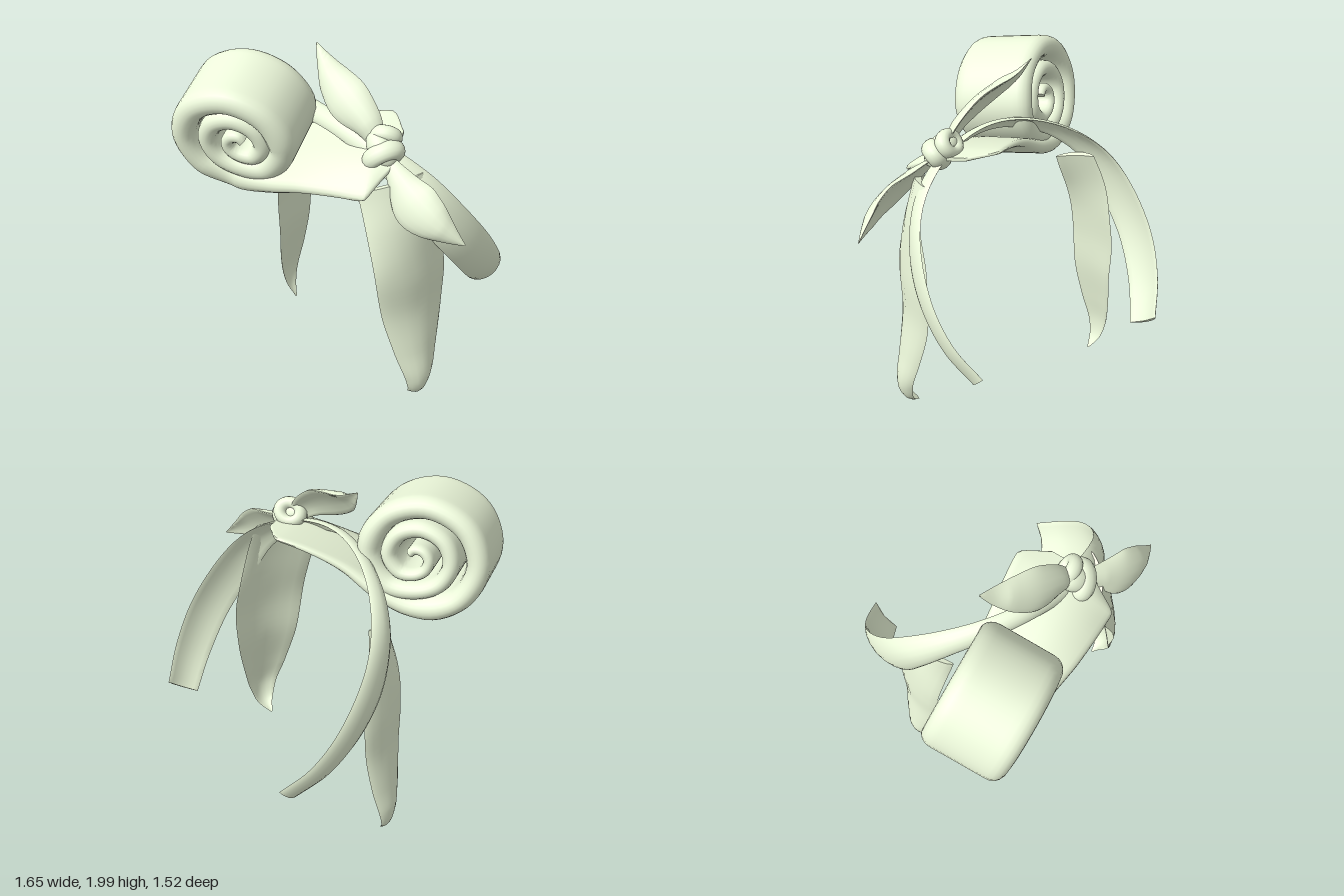
import * as THREE from 'three';
import { toCreasedNormals } from 'three/addons/utils/BufferGeometryUtils.js';

const V3 = (x, y, z) => new THREE.Vector3(x, y, z);
const material = new THREE.MeshStandardMaterial({ color: 0xeefadc });

// Capped closed surface through n + 1 rings of m points, wound so faces point outward
function loft(n, m, pointAt, crease) {
  const pts = [], index = [];
  for (let i = 0; i <= n; i++) for (let j = 0; j < m; j++) pts.push(pointAt(i / n, (j / m) * Math.PI * 2));
  for (let i = 0; i < n; i++) for (let j = 0; j < m; j++) {
    const a = i * m + j, b = i * m + ((j + 1) % m);
    index.push(a, b, a + m, b, b + m, a + m);
  }
  for (const end of [0, n]) {
    const c = V3(0, 0, 0);
    for (let j = 0; j < m; j++) c.addScaledVector(pts[end * m + j], 1 / m);
    pts.push(c);
    for (let j = 0; j < m; j++) {
      const a = end * m + j, b = end * m + ((j + 1) % m);
      if (end) index.push(a, b, pts.length - 1);
      else index.push(b, a, pts.length - 1);
    }
  }
  let volume = 0;
  for (let k = 0; k < index.length; k += 3) {
    volume += pts[index[k]].dot(V3(0, 0, 0).crossVectors(pts[index[k + 1]], pts[index[k + 2]]));
  }
  if (volume < 0) index.reverse();
  const g = new THREE.BufferGeometry().setFromPoints(pts);
  g.setIndex(index);
  return toCreasedNormals(g, crease);
}

// Ribbon along points [x, y, z, halfWidth]; normalAt gives the direction it faces
function ribbon(points, thick, bulge, normalAt, n = 40) {
  const path = new THREE.CatmullRomCurve3(points.map(p => V3(p[0], p[1], p[2])));
  const width = new THREE.CatmullRomCurve3(points.map((p, i) => V3(p[3], i, 0)));
  return loft(n, 16, (t, phi) => {
    const p = path.getPoint(t), T = path.getTangent(t), w = Math.max(width.getPoint(t).x, 0.004);
    const W = V3(0, 0, 0).crossVectors(T, normalAt(p)).normalize();
    const N = V3(0, 0, 0).crossVectors(W, T).normalize();
    const c = Math.cos(phi), s = Math.sin(phi), k = Math.min(1, w / 0.08);
    return p.addScaledVector(W, c * w).addScaledVector(N, k * (s * thick + bulge * (0.5 - c * c)));
  }, 0.9);
}

// Swept fringe: a wide sheet that coils tightly into a roll around a tilted axis
function fringeRoll() {
  const A = V3(0.54, -0.2, 0.81).normalize(), U = V3(0.83, 0, -0.553).normalize();
  const V = V3(0, 0, 0).crossVectors(A, U).normalize();
  const centre = V3(-0.425, 1.6, 0.385);
  // [u, v, half thickness, half length, shift along the axis, droop of the front edge]
  const rows = [
    [0.86, -0.01, 0.012, 0.14, 0.02, 0.04], [0.75, -0.01, 0.014, 0.3, 0.03, 0.11],
    [0.58, -0.045, 0.02, 0.29, 0.03, 0.095], [0.4, -0.11, 0.03, 0.27, 0.03, 0.06],
    [0.2, -0.215, 0.052, 0.25, 0.01, 0.02],
  ];
  const radii = [0.26, 0.265, 0.268, 0.268, 0.266, 0.264, 0.262, 0.225, 0.165, 0.15, 0.148, 0.15,
    0.15, 0.148, 0.14, 0.115, 0.082, 0.068, 0.06, 0.052, 0.042, 0.028];
  radii.forEach((r, i) => {
    const a = -Math.PI / 2 - (i * Math.PI) / 4;
    const inward = Math.max(0, i - 6) / 15;
    rows.push([1.05 * r * Math.cos(a) + 0.04 * inward, r * Math.sin(a),
      Math.min(0.074, 0.022 + r * 0.22), 0.235 - 0.02 * inward, 0, 0]);
  });
  const path = new THREE.CatmullRomCurve3(rows.map(r => V3(r[0], r[1], r[5])));
  const size = new THREE.CatmullRomCurve3(rows.map(r => V3(r[2], r[3], r[4])));
  return loft(170, 36, (t, phi) => {
    const p = path.getPoint(t), T = path.getTangent(t).setZ(0).normalize(), s = size.getPoint(t);
    const c = Math.cos(phi);
    // Flat sides with rounded lips, slightly thinner towards the back
    const lip = Math.max(0, Math.abs(c) * s.y - (s.y - s.x)) / s.x;
    let n = s.x * Math.sqrt(Math.max(0, 1 - lip * lip)) * Math.sign(Math.sin(phi));
    n = s.x - (s.x - n) * (0.9 + 0.1 * c);
    n += p.z * Math.max(0, c) ** 2;
    return centre.clone().addScaledVector(A, s.z + s.y * c)
      .addScaledVector(U, p.x - T.y * n).addScaledVector(V, p.y + T.x * n);
  }, 0.9);
}

export function createModel() {
  const model = new THREE.Group();
  const add = (name, geometry, parent = model) => {
    const mesh = new THREE.Mesh(geometry, material);
    mesh.name = name;
    parent.add(mesh);
    return mesh;
  };

  add('fringeRoll', fringeRoll());

  // Headband: one half, mirrored about its own middle
  const half = [
    [-0.63, 0.595, -0.69, 0.1], [-0.725, 0.75, -0.55, 0.115], [-0.77, 0.96, -0.39, 0.125],
    [-0.74, 1.18, -0.23, 0.125], [-0.645, 1.39, -0.11, 0.1], [-0.48, 1.53, -0.02, 0.075],
    [-0.28, 1.61, 0.04, 0.06],
  ];
  const mirrored = half.map(([x, ...rest]) => [-0.18 - x, ...rest]).reverse();
  const headCentre = V3(-0.09, 0.9, -0.64);
  add('headband', ribbon([...half, [-0.09, 1.635, 0.06, 0.055], ...mirrored], 0.014, 0.03,
    p => p.clone().sub(headCentre), 80));

  // Side locks: nearly edge-on from the front, turning with the head near the top
  const lockNormal = (side, turn) => p =>
    V3(side, 0, turn + 0.4 * THREE.MathUtils.smoothstep(p.y, 0.95, 1.45));
  add('leftSideLock', ribbon([
    [0.38, 1.45, 0.03, 0.18], [0.455, 1.22, 0.01, 0.195], [0.5, 0.92, -0.035, 0.22],
    [0.505, 0.65, -0.055, 0.195], [0.545, 0.4, -0.055, 0.14], [0.575, 0.22, -0.055, 0.09],
    [0.55, 0.11, -0.055, 0.055], [0.48, 0.04, -0.05, 0.005],
  ], 0.016, 0.045, lockNormal(1, 0.14)));
  add('rightSideLock', ribbon([
    [-0.55, 1.38, -0.06, 0.12], [-0.63, 1.15, -0.08, 0.145], [-0.675, 0.85, -0.1, 0.155],
    [-0.685, 0.6, -0.1, 0.14], [-0.72, 0.37, -0.1, 0.11], [-0.745, 0.2, -0.1, 0.07],
    [-0.73, 0.09, -0.1, 0.04], [-0.68, 0.01, -0.1, 0.005],
  ], 0.016, 0.025, lockNormal(-1, 0.22)));

  // Bow: two pointed leaves and a wrapped knot
  const bow = new THREE.Group();
  bow.name = 'bow';
  model.add(bow);
  add('upperBowLeaf', ribbon([
    [0.25, 1.6, 0, 0.035], [0.16, 1.71, 0.015, 0.085], [0.03, 1.795, 0.035, 0.12],
    [-0.1, 1.865, 0.03, 0.095], [-0.2, 1.925, 0.01, 0.05], [-0.28, 2, 0, 0.004],
  ], 0.02, 0.03, () => V3(0.4, 0.5, 0.75)), bow);
  add('lowerBowLeaf', ribbon([
    [0.3, 1.56, 0, 0.03], [0.42, 1.49, 0.015, 0.075], [0.55, 1.41, 0.025, 0.13],
    [0.66, 1.35, 0, 0.11], [0.75, 1.29, -0.05, 0.055], [0.82, 1.24, -0.1, 0.004],
  ], 0.02, 0.03, () => V3(0.3, 0.45, 0.8)), bow);

  const lump = (name, geometry, position, axis, scale) => {
    const mesh = add(name, geometry, bow);
    mesh.position.set(...position);
    mesh.quaternion.setFromUnitVectors(V3(0, 0, 1), V3(...axis).normalize());
    mesh.scale.set(...scale);
  };
  lump('knotCore', new THREE.SphereGeometry(0.075, 24, 16), [0.27, 1.6, 0], [0.75, -0.65, 0], [1, 1, 1.5]);
  lump('knotWrap', new THREE.TorusGeometry(0.055, 0.04, 14, 32), [0.295, 1.575, 0.01], [0.8, -0.6, 0.2], [1.25, 0.95, 1.35]);
  lump('knotLoop', new THREE.TorusGeometry(0.05, 0.033, 14, 32), [0.245, 1.645, -0.04], [0.45, -0.5, 0.6], [1.15, 1, 1.3]);

  return model;
}
